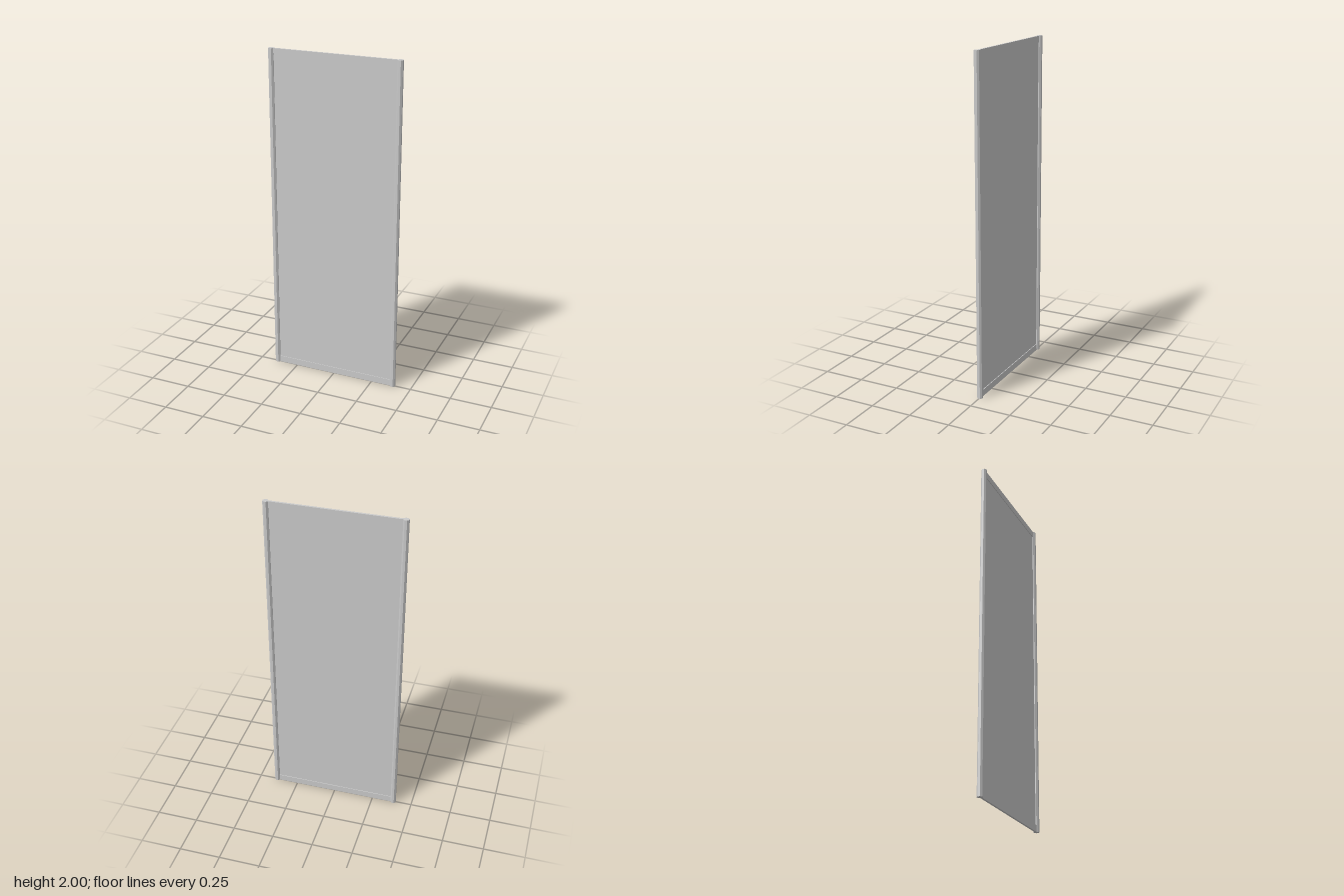
import * as THREE from 'three';

const HEIGHT = 2;
const POST_X = 0.385;      // post centre
const POST_WIDTH = 0.032;  // across the flats
const RAIL_HEIGHT = 0.04;
const RAIL_DEPTH = 0.012;
const PANEL_DEPTH = 0.004;

export function createModel() {
  const group = new THREE.Group();
  const material = new THREE.MeshStandardMaterial({ color: 0xcccccc, flatShading: true });

  const add = (name, geometry, x, y) => {
    const mesh = new THREE.Mesh(geometry, material);
    mesh.name = name;
    mesh.position.set(x, y, 0);
    group.add(mesh);
  };

  // Octagonal side posts, turned so the flats face the axes
  const radius = POST_WIDTH / 2 / Math.cos(Math.PI / 8);
  const post = new THREE.CylinderGeometry(radius, radius, HEIGHT, 8).rotateY(Math.PI / 8);
  add('leftPost', post, POST_X, HEIGHT / 2);
  add('rightPost', post, -POST_X, HEIGHT / 2);

  // Top and bottom rails running between the posts
  const span = 2 * POST_X - POST_WIDTH;
  const rail = new THREE.BoxGeometry(span, RAIL_HEIGHT, RAIL_DEPTH);
  add('topRail', rail, 0, HEIGHT - RAIL_HEIGHT / 2);
  add('bottomRail', rail, 0, RAIL_HEIGHT / 2);

  // Thin panel set back within the frame
  const panel = new THREE.BoxGeometry(span, HEIGHT - 2 * RAIL_HEIGHT, PANEL_DEPTH);
  add('panel', panel, 0, HEIGHT / 2);

  return group;
}
